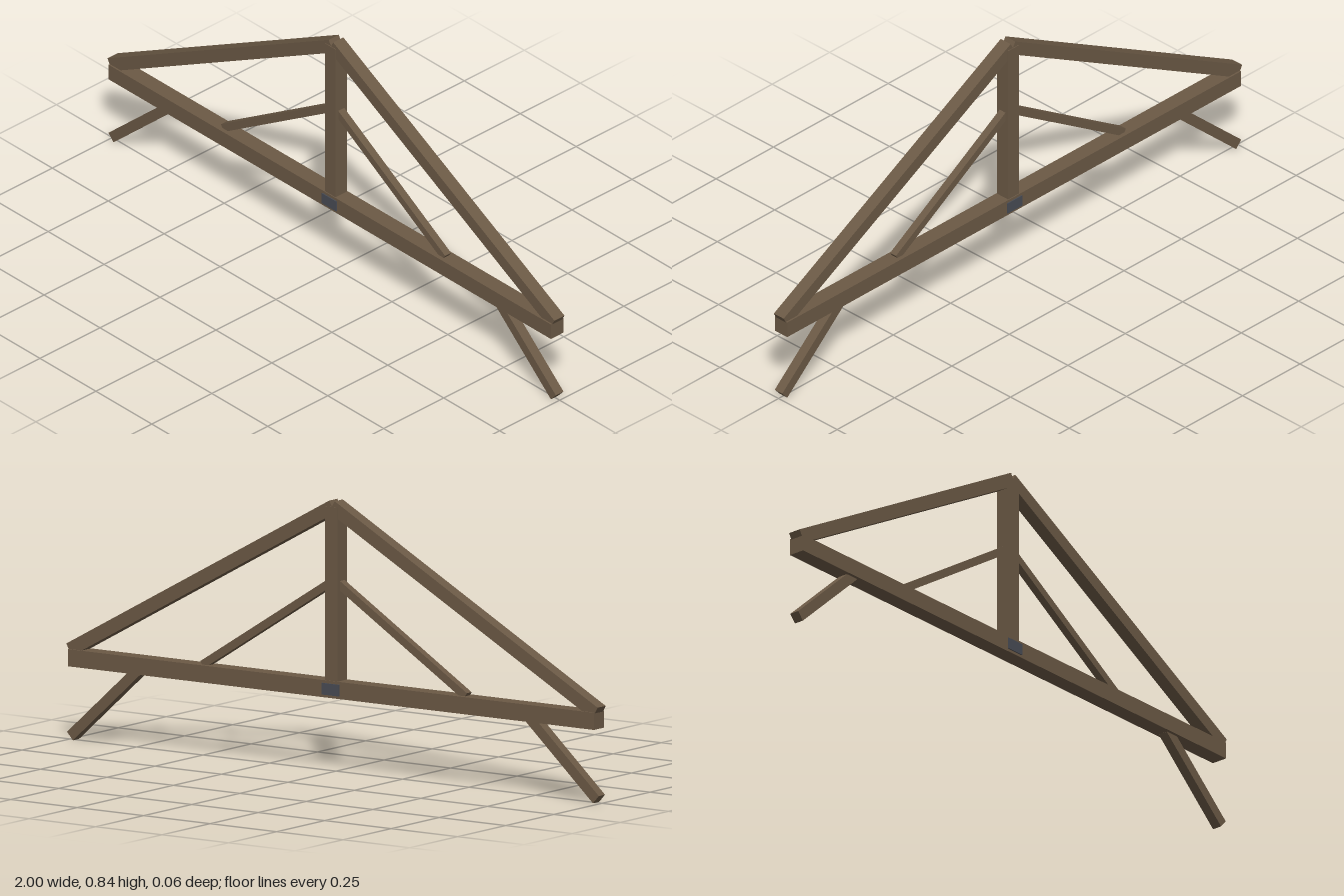
import * as THREE from 'three';

const wood = new THREE.MeshStandardMaterial({ color: 0x6b5945 });
wood.name = 'wood';
const iron = new THREE.MeshStandardMaterial({ color: 0x484b54 });
iron.name = 'iron';

// Square-ended timber running between two points in the x-y plane
function timber(name, from, to, height, depth) {
  const dx = to[0] - from[0], dy = to[1] - from[1];
  const mesh = new THREE.Mesh(new THREE.BoxGeometry(Math.hypot(dx, dy), height, depth), wood);
  mesh.position.set((from[0] + to[0]) / 2, (from[1] + to[1]) / 2, 0);
  mesh.rotation.z = Math.atan2(dy, dx);
  mesh.name = name;
  return mesh;
}

export function createModel() {
  const truss = new THREE.Group();
  truss.name = 'roofTruss';
  const half = 0.989;

  // Horizontal tie beam and central king post
  truss.add(timber('tieBeam', [-half, 0.256], [half, 0.256], 0.053, 0.053));
  truss.add(timber('kingPost', [0, 0.256], [0, 0.82], 0.047, 0.047));

  // Mirrored timbers on both sides
  for (const [side, s] of [['left', 1], ['right', -1]]) {
    truss.add(timber(side + 'Rafter', [s * half, 0.28], [0, 0.82], 0.042, 0.042));
    truss.add(timber(side + 'Strut', [s * half / 2, 0.282], [0, 0.592], 0.025, 0.025));
    truss.add(timber(side + 'KneeBrace', [s * half, 0.0125], [s * 0.735, 0.241], 0.033, 0.032));
  }

  // Iron strap plates on the front and back of the joint
  for (const [face, s] of [['front', 1], ['back', -1]]) {
    const plate = new THREE.Mesh(new THREE.BoxGeometry(0.064, 0.036, 0.006), iron);
    plate.position.set(0, 0.256, s * 0.027);
    plate.name = face + 'StrapPlate';
    truss.add(plate);
  }
  return truss;
}
